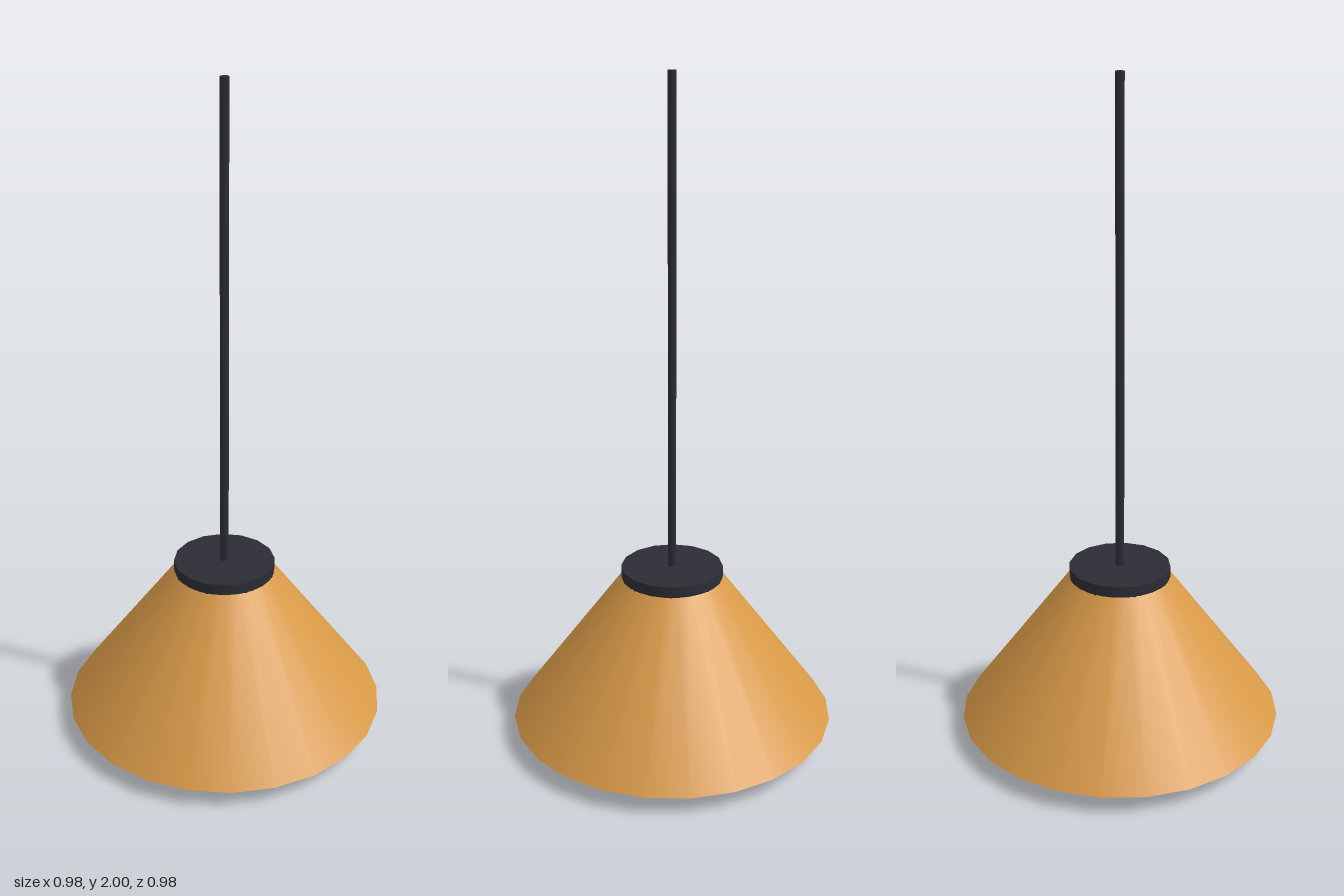
import * as THREE from 'three';

const material = (name, color, side = THREE.FrontSide) => {
  const m = new THREE.MeshStandardMaterial({ color, side });
  m.name = name;
  return m;
};

export function createModel() {
  const group = new THREE.Group();
  group.name = 'pendantLamp';
  const dark = material('darkMetal', 0x2c2c35);
  const amber = material('amberShade', 0xd99a48, THREE.DoubleSide);
  const cream = material('creamGlass', 0xe8dcc0);

  const add = (name, geometry, mat, y) => {
    const mesh = new THREE.Mesh(geometry, mat);
    mesh.name = name;
    mesh.position.y = y;
    group.add(mesh);
  };
  // Upright cylinder or cone between two heights
  const tapered = (name, rTop, rBottom, y0, y1, sides, mat, open = false) =>
    add(name, new THREE.CylinderGeometry(rTop, rBottom, y1 - y0, sides, 1, open), mat, (y0 + y1) / 2);

  // Hanging rod, cap and open conical shade
  tapered('rod', 0.013, 0.013, 0.53, 2, 8, dark);
  tapered('cap', 0.154, 0.154, 0.508, 0.543, 16, dark);
  tapered('shade', 0.154, 0.491, 0.053, 0.51, 24, amber, true);

  // Bulb peeking out below the rim
  add('bulb', new THREE.SphereGeometry(0.12, 24, 16), cream, 0.12);

  return group;
}
